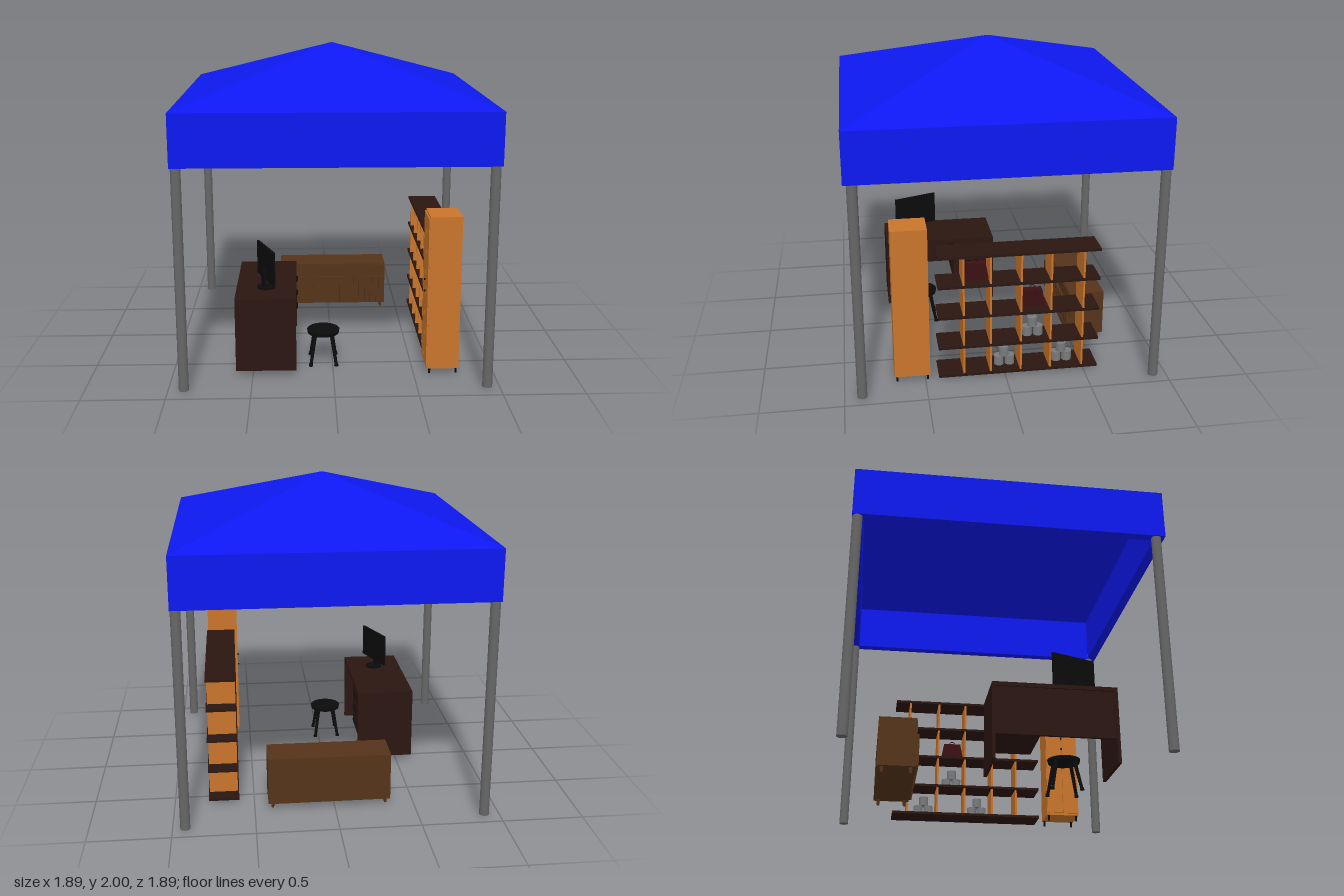
import * as THREE from 'three';

const mat = (color) => new THREE.MeshStandardMaterial({ color });
const flat = (color) => new THREE.MeshStandardMaterial({ color, flatShading: true });
const BLUE = flat(0x0d18f0), STEEL = mat(0x666666), ORANGE = mat(0xc8752b), DARK = mat(0x2a1610),
  BROWN = mat(0x55331a), BLACK = mat(0x0b0b0b), RED = mat(0x3c1014), TIN = mat(0x777a7c);

function add(parent, name, geometry, material, x = 0, y = 0, z = 0) {
  const mesh = new THREE.Mesh(geometry, material);
  mesh.name = name;
  mesh.position.set(x, y, z);
  parent.add(mesh);
  return mesh;
}

// Box given by its lower and upper limits on each axis
function box(parent, name, material, [x0, x1], [y0, y1], [z0, z1]) {
  return add(parent, name, new THREE.BoxGeometry(x1 - x0, y1 - y0, z1 - z0), material,
    (x0 + x1) / 2, (y0 + y1) / 2, (z0 + z1) / 2);
}

function group(parent, name, x = 0, y = 0, z = 0) {
  const g = new THREE.Group();
  g.name = name;
  g.position.set(x, y, z);
  parent.add(g);
  return g;
}

// Round rod between two points
function rod(parent, name, material, a, b, rTop, rBottom) {
  const p = new THREE.Vector3(...a), q = new THREE.Vector3(...b);
  const dir = q.clone().sub(p), mid = p.clone().add(q).multiplyScalar(0.5);
  const m = add(parent, name, new THREE.CylinderGeometry(rTop, rBottom, dir.length(), 16), material, mid.x, mid.y, mid.z);
  m.quaternion.setFromUnitVectors(new THREE.Vector3(0, 1, 0), dir.normalize());
}

const square = (Type, h) => {
  const s = new Type();
  s.moveTo(-h, -h); s.lineTo(h, -h); s.lineTo(h, h); s.lineTo(-h, h); s.closePath();
  return s;
};

function buildCanopy(root) {
  const g = group(root, 'canopy', 0.01, 0, 0);
  const half = 0.945;
  const roof = new THREE.ConeGeometry(half * Math.SQRT2, 0.312, 4);
  roof.rotateY(Math.PI / 4);
  add(g, 'roof', roof, BLUE, 0, 1.844, 0);
  // Hollow valance below the eaves
  const ring = square(THREE.Shape, half);
  ring.holes.push(square(THREE.Path, half - 0.06));
  const valance = new THREE.ExtrudeGeometry(ring, { depth: 0.313, bevelEnabled: false });
  valance.rotateX(-Math.PI / 2);
  add(g, 'valance', valance, BLUE, 0, 1.375, 0);
  for (const sx of [-1, 1]) for (const sz of [-1, 1])
    add(g, 'post', new THREE.CylinderGeometry(0.03, 0.03, 1.4, 32), STEEL, sx * 0.913, 0.71, sz * 0.904 - 0.01);
}

function buildWardrobe(root) {
  const g = group(root, 'wardrobe');
  box(g, 'wardrobeBody', ORANGE, [0.585, 0.78], [0.035, 1.012], [0.47, 0.69]);
  for (const z of [0.472, 0.582]) box(g, 'wardrobeDoor', ORANGE, [0.576, 0.585], [0.05, 1.0], [z, z + 0.106]);
  for (const y of [0.51, 0.585])
    add(g, 'wardrobeKnob', new THREE.SphereGeometry(0.007, 12, 8), BLACK, 0.572, y, 0.58);
  for (const x of [0.6, 0.765]) for (const z of [0.485, 0.675])
    add(g, 'wardrobeFoot', new THREE.CylinderGeometry(0.008, 0.006, 0.036, 12), BLACK, x, 0.018, z);
}

function buildShelf(root) {
  const g = group(root, 'displayShelf');
  for (const y of [0.02, 0.215, 0.42, 0.625, 0.82])
    box(g, 'shelfBoard', DARK, [0.595, 0.787], [y - 0.008, y + 0.008], [-0.59, 0.415]);
  for (const z of [0.257, 0.09, -0.1, -0.287, -0.49])
    box(g, 'shelfDivider', ORANGE, [0.602, 0.78], [0.02, 0.815], [z - 0.006, z + 0.006]);

  // Tapered bags with hoop handles
  for (const [y, z] of [[0.635, 0.17], [0.432, -0.185]]) {
    const bag = group(g, 'bag', 0.69, y, z);
    const side = new THREE.Shape([[-0.077, 0], [0.077, 0], [0.057, 0.108], [-0.057, 0.108]]
      .map(([u, v]) => new THREE.Vector2(u, v)));
    const body = new THREE.ExtrudeGeometry(side, { depth: 0.05, bevelEnabled: false });
    body.translate(0, 0, -0.025).rotateY(Math.PI / 2);
    add(bag, 'bagBody', body, RED);
    for (const x of [-0.018, 0.018])
      add(bag, 'bagHandle', new THREE.TorusGeometry(0.019, 0.0025, 8, 20, Math.PI), RED, x, 0.106, 0).rotation.y = Math.PI / 2;
  }

  // Stacks of three tins
  for (const [y, z] of [[0.223, -0.187], [0.028, -0.008], [0.028, -0.377]]) {
    const stack = group(g, 'tinStack', 0.69, y, z);
    for (const [dy, dz] of [[0, 0.034], [0, -0.034], [0.062, 0.003]])
      add(stack, 'tin', new THREE.CylinderGeometry(0.031, 0.031, 0.061, 24), TIN, 0, dy + 0.031, dz);
  }
}

function buildDesk(root) {
  const g = group(root, 'desk');
  box(g, 'deskTop', DARK, [-0.605, -0.23], [0.475, 0.5], [-0.075, 0.68]);
  for (const z of [-0.075, 0.66]) box(g, 'deskSide', DARK, [-0.605, -0.23], [0.03, 0.478], [z, z + 0.02]);
  box(g, 'deskBackPanel', DARK, [-0.595, -0.575], [0.18, 0.478], [-0.06, 0.665]);
  box(g, 'drawerCase', DARK, [-0.58, -0.24], [0.18, 0.478], [-0.06, 0.21]);
  for (let i = 0; i < 3; i++) {
    const y = 0.188 + i * 0.096;
    box(g, 'deskDrawer', DARK, [-0.242, -0.232], [y, y + 0.088], [-0.045, 0.2]);
    box(g, 'drawerHandle', BLACK, [-0.232, -0.22], [y + 0.04, y + 0.048], [0.03, 0.125]);
  }

  // Turned screen on a round foot
  const m = group(g, 'monitor', -0.418, 0.5, 0.46);
  m.rotation.y = Math.PI - 1.2;
  add(m, 'monitorFoot', new THREE.CylinderGeometry(0.055, 0.057, 0.012, 32), BLACK, 0, 0.006, 0);
  box(m, 'monitorStem', BLACK, [-0.025, 0.025], [0.01, 0.12], [-0.024, -0.006]);
  box(m, 'monitorScreen', BLACK, [-0.152, 0.152], [0.055, 0.27], [-0.006, 0.008]);
}

function buildStool(root) {
  const g = group(root, 'stool', -0.058, 0, 0.457);
  add(g, 'stoolSeat', new THREE.CylinderGeometry(0.104, 0.1, 0.022, 32), BLACK, 0, 0.205, 0);
  for (const sx of [-1, 1]) for (const sz of [-1, 1]) {
    rod(g, 'stoolLeg', BLACK, [sx * 0.08, 0.01, sz * 0.092], [sx * 0.052, 0.196, sz * 0.058], 0.012, 0.01);
    add(g, 'stoolFoot', new THREE.CylinderGeometry(0.011, 0.014, 0.016, 16), BLACK, sx * 0.081, 0.008, sz * 0.093);
  }
}

function buildSideboard(root) {
  const g = group(root, 'sideboard');
  box(g, 'sideboardBody', BROWN, [-0.35, 0.415], [0.04, 0.342], [-0.72, -0.492]);
  for (const [x0, x1] of [[-0.342, 0.029], [0.036, 0.407]]) {
    box(g, 'sideboardDrawer', BROWN, [x0, x1], [0.255, 0.332], [-0.492, -0.486]);
    box(g, 'sideboardDoor', BROWN, [x0, x1], [0.05, 0.247], [-0.492, -0.486]);
    // Upright slats on each door
    const n = 18, step = (x1 - x0) / n;
    for (let i = 0; i < n; i++)
      box(g, 'doorSlat', BROWN, [x0 + i * step + 0.004, x0 + (i + 1) * step - 0.004], [0.05, 0.247], [-0.487, -0.474]);
  }
  for (const [x, out] of [[-0.308, -1], [0.373, 1]]) for (const z of [-0.69, -0.52])
    rod(g, 'sideboardFoot', BROWN, [x + out * 0.016, 0.004, z], [x + out * 0.01, 0.045, z], 0.013, 0.008);
}

export function createModel() {
  const root = new THREE.Group();
  root.name = 'marketStall';
  buildCanopy(root);
  buildWardrobe(root);
  buildShelf(root);
  buildDesk(root);
  buildStool(root);
  buildSideboard(root);
  return root;
}
